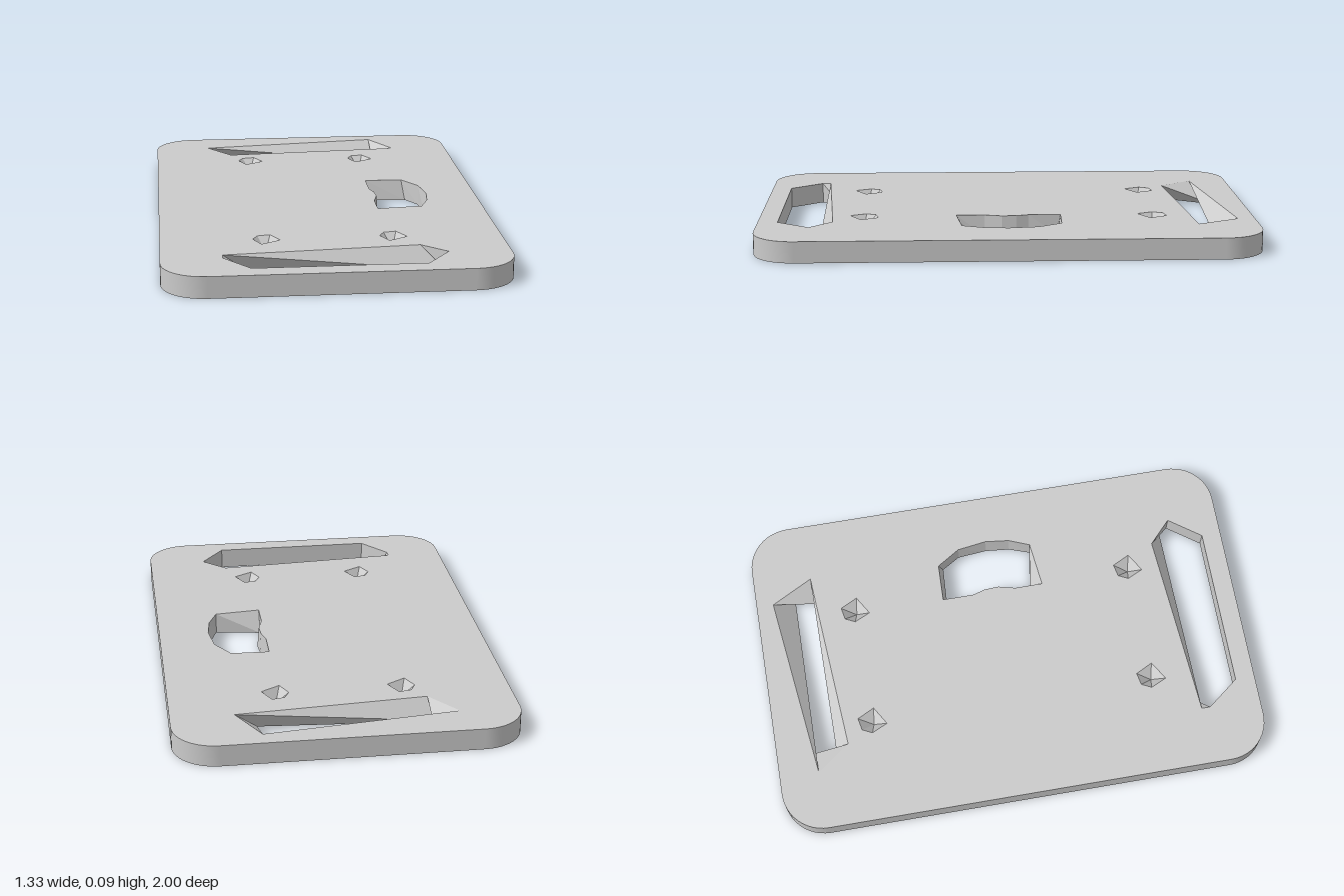
import * as THREE from 'three';

const H = 0.085; // plate thickness
const HALF_X = 0.665, HALF_Z = 1, RADIUS = 0.17;

const at = (loop, y) => loop.flatMap(([x, z]) => [x, y, z]);

function meshOf(name, points, index, flat) {
  let geo = new THREE.BufferGeometry();
  geo.setAttribute('position', new THREE.Float32BufferAttribute(points, 3));
  geo.setIndex(index);
  if (flat) geo = geo.toNonIndexed();
  geo.computeVertexNormals();
  const mesh = new THREE.Mesh(geo, new THREE.MeshStandardMaterial({ color: 0xcccccc, flatShading: flat }));
  mesh.name = name;
  return mesh;
}

// Wall between a top loop and a bottom loop; clockwise loops face inward
function wall(name, top, bottom, flat = true) {
  const n = top.length, index = [];
  for (let i = 0; i < n; i++) {
    const j = (i + 1) % n;
    index.push(i, n + j, j, i, n + i, n + j);
  }
  return meshOf(name, [...at(top, H), ...at(bottom, 0)], index, flat);
}

// Faceted dimple sunk from the face at height y to an apex
function pit(name, loop, y, apex) {
  const n = loop.length, index = [];
  for (let i = 0; i < n; i++) {
    const j = (i + 1) % n;
    index.push(...(apex[1] < y ? [i, n, j] : [i, j, n]));
  }
  return meshOf(name, [...at(loop, y), ...apex], index, true);
}

// Flat face with openings, facing up (dir = 1) or down (dir = -1)
function face(name, outline, holes, y, dir) {
  const vec = (loop) => loop.map(([x, z]) => new THREE.Vector2(x, -z * dir));
  const shape = new THREE.Shape(vec(outline));
  shape.holes = holes.map((h) => new THREE.Path(vec(h)));
  const geo = new THREE.ShapeGeometry(shape).rotateX(-dir * Math.PI / 2).translate(0, y, 0);
  const mesh = new THREE.Mesh(geo, new THREE.MeshStandardMaterial({ color: 0xcccccc }));
  mesh.name = name;
  return mesh;
}

// Rounded rectangle, counter-clockwise seen from above
function roundedOutline() {
  const loop = [], steps = 12;
  [[1, 1], [1, -1], [-1, -1], [-1, 1]].forEach(([sx, sz], c) => {
    for (let i = 0; i <= steps; i++) {
      const a = Math.PI / 2 * (1 - c - i / steps);
      loop.push([
        sx * (HALF_X - RADIUS) + RADIUS * Math.cos(a),
        sz * (HALF_Z - RADIUS) + RADIUS * Math.sin(a),
      ]);
    }
  });
  return loop;
}

export function createModel() {
  const group = new THREE.Group();
  group.name = 'slottedPlate';
  const outline = roundedOutline();

  // Through openings: outlines differ on top and bottom, giving twisted walls
  const openings = [
    {
      name: 'backSlot',
      top: [[-0.43, -0.84], [0.33, -0.93], [0.42, -0.76], [-0.33, -0.705]],
      bottom: [[-0.33, -0.93], [0.42, -0.84], [0.33, -0.705], [-0.43, -0.76]],
    },
    {
      name: 'frontSlot',
      top: [[-0.43, 0.755], [0.33, 0.7], [0.425, 0.79], [0.33, 0.92], [-0.33, 0.92], [-0.43, 0.79]],
      bottom: [[-0.33, 0.7], [0.42, 0.755], [0.425, 0.79], [0.33, 0.92], [-0.33, 0.92], [-0.43, 0.79]],
    },
    {
      name: 'sideOpening',
      top: [[0.23, -0.22], [0.385, -0.215], [0.445, -0.12], [0.462, 0], [0.45, 0.1], [0.415, 0.185],
        [0.23, 0.205], [0.23, 0.09], [0.248, 0.02], [0.245, -0.04], [0.23, -0.09]],
      bottom: [[0.23, -0.205], [0.4, -0.195], [0.445, -0.12], [0.455, 0], [0.445, 0.1], [0.415, 0.185],
        [0.23, 0.155], [0.235, 0.09], [0.255, 0.02], [0.25, -0.04], [0.235, -0.09]],
    },
  ];

  // Four small dimples in the top
  const dimple = [[-0.05, -0.01], [-0.03, -0.05], [0.02, -0.06], [0.055, 0.01], [-0.02, 0.055]];
  const dimples = [[-0.25, -0.59], [0.245, -0.59], [-0.255, 0.58], [0.24, 0.58]].map(([x, z]) => ({
    loop: dimple.map(([dx, dz]) => [x + dx, z + dz]),
    apex: [x, H - 0.05, z],
  }));

  // One larger recess in the underside
  const recess = [[0.11, -0.01], [0.02, 0.14], [-0.14, 0.03], [-0.09, -0.09], [0.04, -0.13]];

  group.add(
    face('topFace', outline, [...openings.map((o) => o.top), ...dimples.map((d) => d.loop)], H, 1),
    face('bottomFace', outline, [...openings.map((o) => o.bottom), recess], 0, -1),
    wall('rim', outline, outline, false),
    ...openings.map((o) => wall(o.name, o.top, o.bottom)),
    ...dimples.map((d, i) => pit('topDimple' + (i + 1), d.loop, H, d.apex)),
    pit('undersideRecess', recess, 0, [-0.03, 0.065, -0.03]),
  );
  return group;
}
